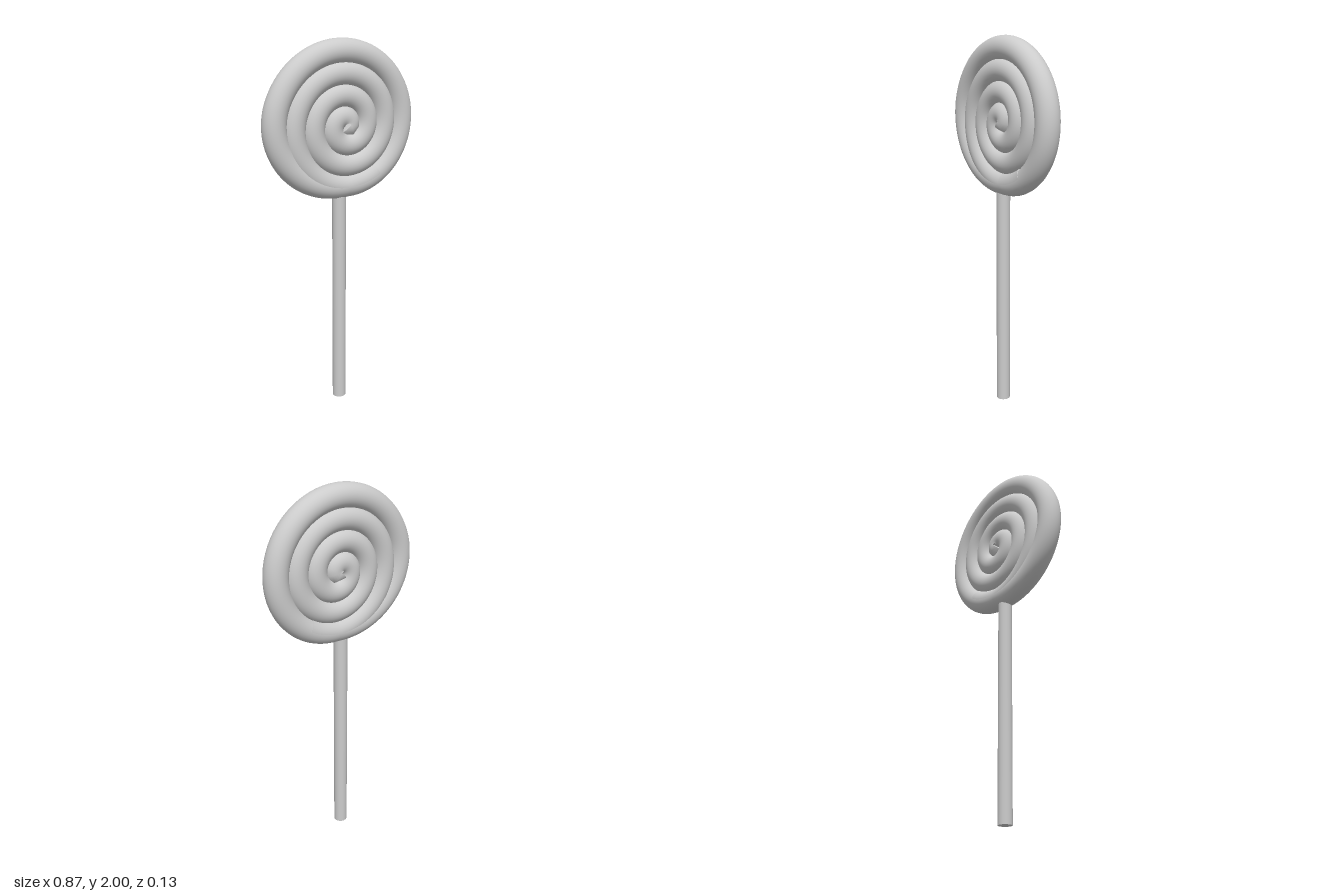
import * as THREE from 'three';

const TUBE = 0.063;          // candy rope radius
const PITCH = 0.11;          // spiral growth per turn
const START = -0.14, END = 3.85; // turns, measured from +x

// Flat spiral whose outer tail tucks back into the coil below it
class SpiralCurve extends THREE.Curve {
  getPoint(u, target = new THREE.Vector3()) {
    const turn = START + (END - START) * u;
    const tuck = 0.115 * THREE.MathUtils.smoothstep(turn, 3.45, 3.8);
    const r = 0.016 + PITCH * turn - tuck;
    const a = turn * Math.PI * 2;
    return target.set(0.028 + r * Math.cos(a), 1.5635 + r * Math.sin(a), 0);
  }
}

export function createModel() {
  const group = new THREE.Group();
  const material = new THREE.MeshStandardMaterial({ color: 0xcccccc });
  const add = (name, geometry, parent = group) => {
    const mesh = new THREE.Mesh(geometry, material);
    mesh.name = name;
    parent.add(mesh);
    return mesh;
  };

  // Coiled candy rope
  const candy = new THREE.Group();
  candy.name = 'candy';
  group.add(candy);
  const curve = new SpiralCurve();
  curve.arcLengthDivisions = 1200;
  add('candySpiral', new THREE.TubeGeometry(curve, 400, TUBE, 32, false), candy);

  // Discs closing both ends of the rope
  for (const [name, u, sign] of [['innerEnd', 0, -1], ['outerEnd', 1, 1]]) {
    const cap = add(name, new THREE.CircleGeometry(TUBE, 32), candy);
    const outward = curve.getTangentAt(u).multiplyScalar(sign);
    cap.position.copy(curve.getPointAt(u));
    cap.quaternion.setFromUnitVectors(new THREE.Vector3(0, 0, 1), outward);
  }

  // Stick, its top sunk into the candy
  const stickHeight = 1.22;
  const stick = add('stick', new THREE.CylinderGeometry(0.037, 0.037, stickHeight, 32));
  stick.position.y = stickHeight / 2;

  return group;
}
